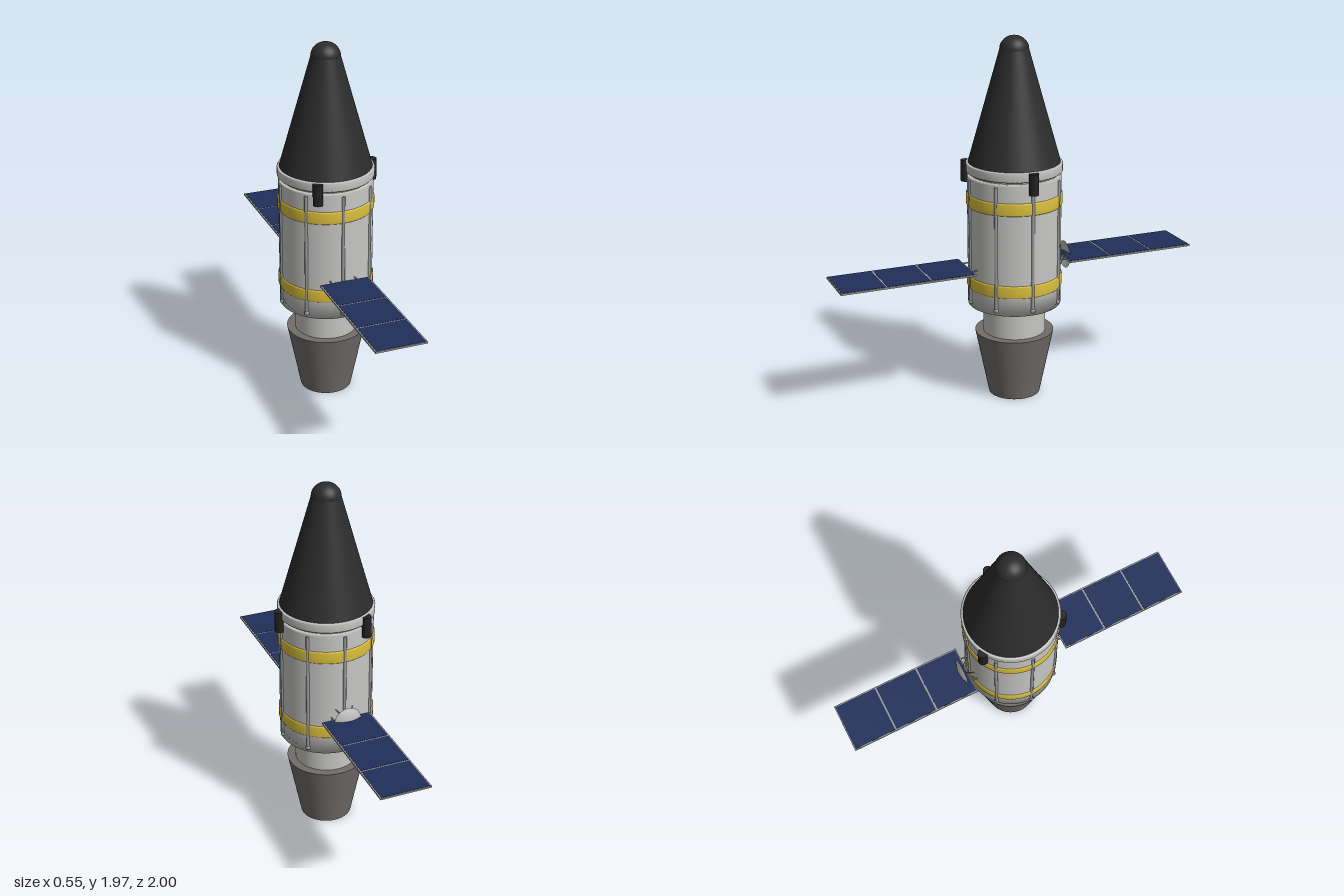
import * as THREE from 'three';

const mat = (name, color, side = THREE.FrontSide) => {
  const m = new THREE.MeshStandardMaterial({ color, side });
  m.name = name;
  return m;
};

export function createModel() {
  const hull = mat('hull grey', 0xc6c6c4);
  const dishWhite = mat('dish grey', 0xc2c2c2, THREE.DoubleSide);
  const metal = mat('rod metal', 0x9c9c9c);
  const black = mat('nose black', 0x2c2c2c);
  const clipBlack = mat('clip black', 0x222222);
  const yellow = mat('band yellow', 0xdcc03c);
  const nozzleGrey = mat('nozzle grey', 0x716d69);
  const navy = mat('solar navy', 0x202e5a);

  const model = new THREE.Group();
  model.name = 'spacecraft';
  const craft = new THREE.Group();
  craft.name = 'craft';
  craft.position.x = -0.016;
  model.add(craft);

  const add = (name, geo, material, x = 0, y = 0, z = 0, parent = craft) => {
    const mesh = new THREE.Mesh(geo, material);
    mesh.name = name;
    mesh.position.set(x, y, z);
    parent.add(mesh);
    return mesh;
  };
  const lathe = (name, pts, material) =>
    add(name, new THREE.LatheGeometry(pts.map(p => new THREE.Vector2(...p)), 64), material);
  const strut = (name, a, b, r, material, parent) => {
    const from = new THREE.Vector3(...a), to = new THREE.Vector3(...b);
    const dir = to.clone().sub(from);
    const mesh = add(name, new THREE.CylinderGeometry(r, r, dir.length(), 8), material, 0, 0, 0, parent);
    mesh.position.copy(from).add(to).multiplyScalar(0.5);
    mesh.quaternion.setFromUnitVectors(new THREE.Vector3(0, 1, 0), dir.normalize());
  };

  // Engine nozzle and neck
  add('nozzle', new THREE.CylinderGeometry(0.213, 0.14, 0.362, 64), nozzleGrey, 0, 0.181);
  add('neck', new THREE.CylinderGeometry(0.168, 0.168, 0.18, 64), hull, 0, 0.45);

  // Main body, softly shaded at its lower edge
  lathe('body', [[0, 0.527], [0.25, 0.527], [0.25, 0.64], [0.25, 1.1], [0.25, 1.235], [0.247, 1.245], [0, 1.247]], hull);
  add('collarGap', new THREE.CylinderGeometry(0.235, 0.235, 0.03, 64), hull, 0, 1.25);

  // Collar under the nose
  lathe('collar', [[0.22, 1.256], [0.25, 1.256], [0.256, 1.263], [0.256, 1.302], [0.252, 1.309], [0.22, 1.31]], hull);

  // Nose cone with a rounded tip
  add('noseCone', new THREE.CylinderGeometry(0.077, 0.245, 0.595, 64), black, 0, 1.6025);
  const tip = add('noseTip', new THREE.SphereGeometry(0.077, 40, 16, 0, Math.PI * 2, 0, Math.PI / 2), black, 0, 1.9);
  tip.scale.y = 0.93;

  // Yellow bands
  for (const y of [0.661, 1.112]) {
    lathe('band', [[0.246, y - 0.035], [0.252, y - 0.034], [0.256, y - 0.026],
      [0.256, y + 0.026], [0.252, y + 0.034], [0.246, y + 0.035]], yellow);
  }

  // Eight vertical rods with small feet
  for (let i = 0; i < 8; i++) {
    const a = i * Math.PI / 4, x = Math.cos(a) * 0.25, z = Math.sin(a) * 0.25;
    add('rod', new THREE.CylinderGeometry(0.009, 0.009, 0.68, 10), metal, x, 0.887, z);
    add('rodFoot', new THREE.SphereGeometry(0.014, 10, 8), metal, x, 0.553, z);
  }

  // Three clips around the collar
  for (let i = 0; i < 3; i++) {
    const a = i * Math.PI * 2 / 3;
    add('clip', new THREE.CylinderGeometry(0.026, 0.026, 0.115, 20), clipBlack,
      Math.cos(a) * 0.26, 1.248, Math.sin(a) * 0.26);
  }

  // Solar wings: frame plate, three cells on each face, two mounting struts
  for (const s of [1, -1]) {
    const wing = new THREE.Group();
    wing.name = s > 0 ? 'frontSolarWing' : 'backSolarWing';
    wing.position.y = 0.75;
    craft.add(wing);
    add('wingFrame', new THREE.BoxGeometry(0.274, 0.009, 0.73), metal, 0, 0, s * 0.635, wing);
    for (let i = 0; i < 3; i++) {
      add('solarCell', new THREE.BoxGeometry(0.26, 0.012, 0.234), navy, 0, 0, s * (0.392 + i * 0.243), wing);
    }
    for (const x of [-0.075, 0.075]) {
      strut('wingStrut', [x * 0.9, 0, s * 0.235], [x, 0, s * 0.29], 0.004, metal, wing);
    }
  }

  // Dish on the back with its four legs
  const dish = new THREE.Group();
  dish.name = 'dish';
  dish.position.set(0, 0.75, -0.318);
  craft.add(dish);
  const profile = [0, 0.25, 0.5, 0.75, 1].map(t => new THREE.Vector2(t * 0.075, t * t * 0.022));
  add('dishShell', new THREE.LatheGeometry(profile, 32), dishWhite, 0, 0, 0, dish).rotation.x = Math.PI / 2;
  for (let i = 0; i < 4; i++) {
    const a = Math.PI / 4 + i * Math.PI / 2;
    strut('dishLeg', [0, 0, 0.012], [Math.cos(a) * 0.08, Math.sin(a) * 0.08, 0.085], 0.003, metal, dish);
  }
  return model;
}
